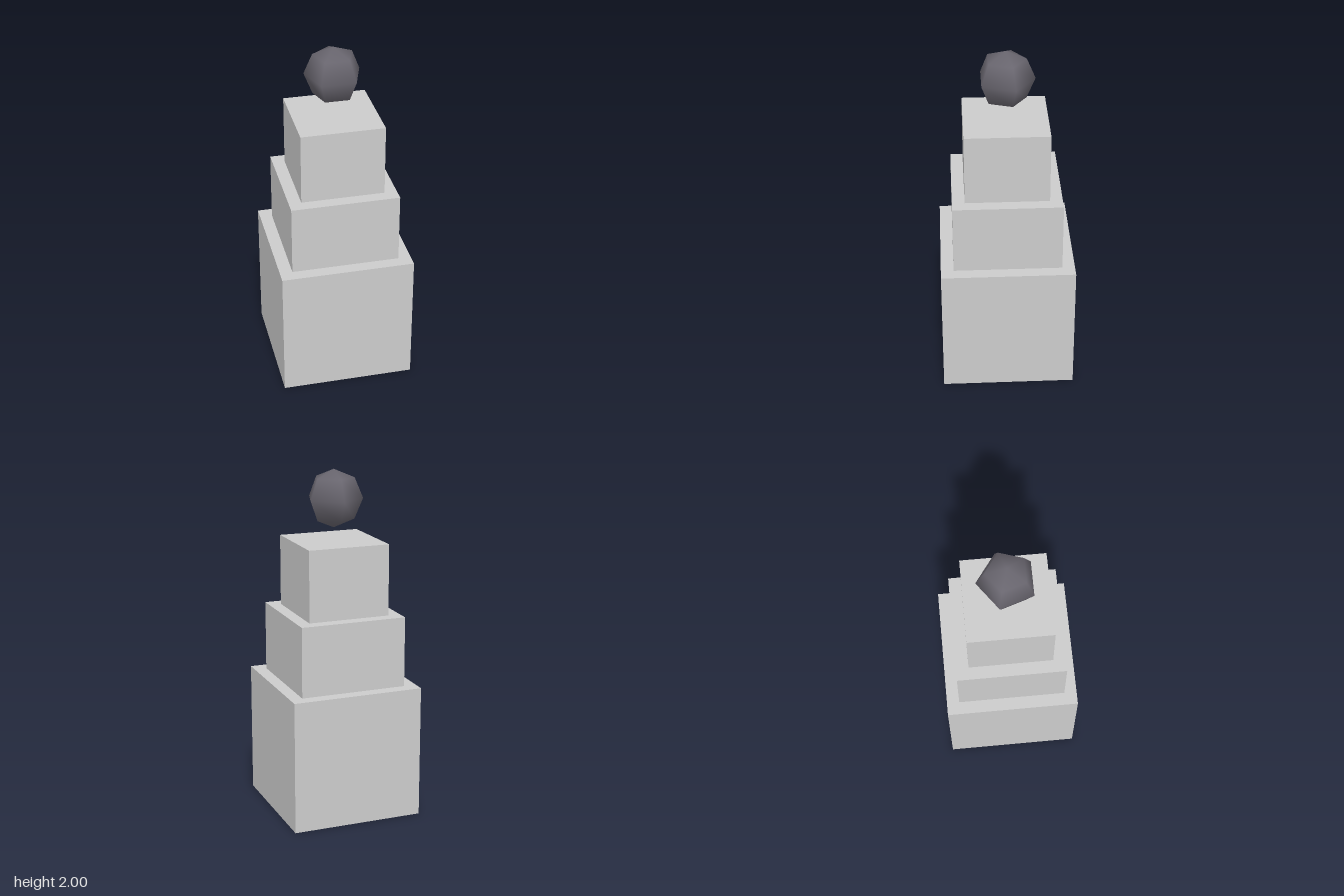
import * as THREE from 'three';

export function createModel() {
  const model = new THREE.Group();
  const stone = new THREE.MeshStandardMaterial({ color: 0xcccccc });
  stone.name = 'light grey';
  const dark = new THREE.MeshStandardMaterial({ color: 0x69666f });
  dark.name = 'dark grey';

  // Stacked square blocks: name, width, bottom, top
  const tiers = [
    ['baseBlock', 0.77, 0, 0.773],
    ['middleBlock', 0.624, 0.773, 1.182],
    ['topBlock', 0.48, 1.182, 1.595],
  ];
  for (const [name, width, bottom, top] of tiers) {
    const block = new THREE.Mesh(new THREE.BoxGeometry(width, top - bottom, width), stone);
    block.name = name;
    block.position.y = (bottom + top) / 2;
    model.add(block);
  }

  // Floating five-sided ball, one corner pointing to the back
  const ball = new THREE.Mesh(new THREE.SphereGeometry(0.167, 5, 4, -Math.PI / 2), dark);
  ball.name = 'floatingBall';
  ball.position.y = 1.833;
  model.add(ball);

  return model;
}
